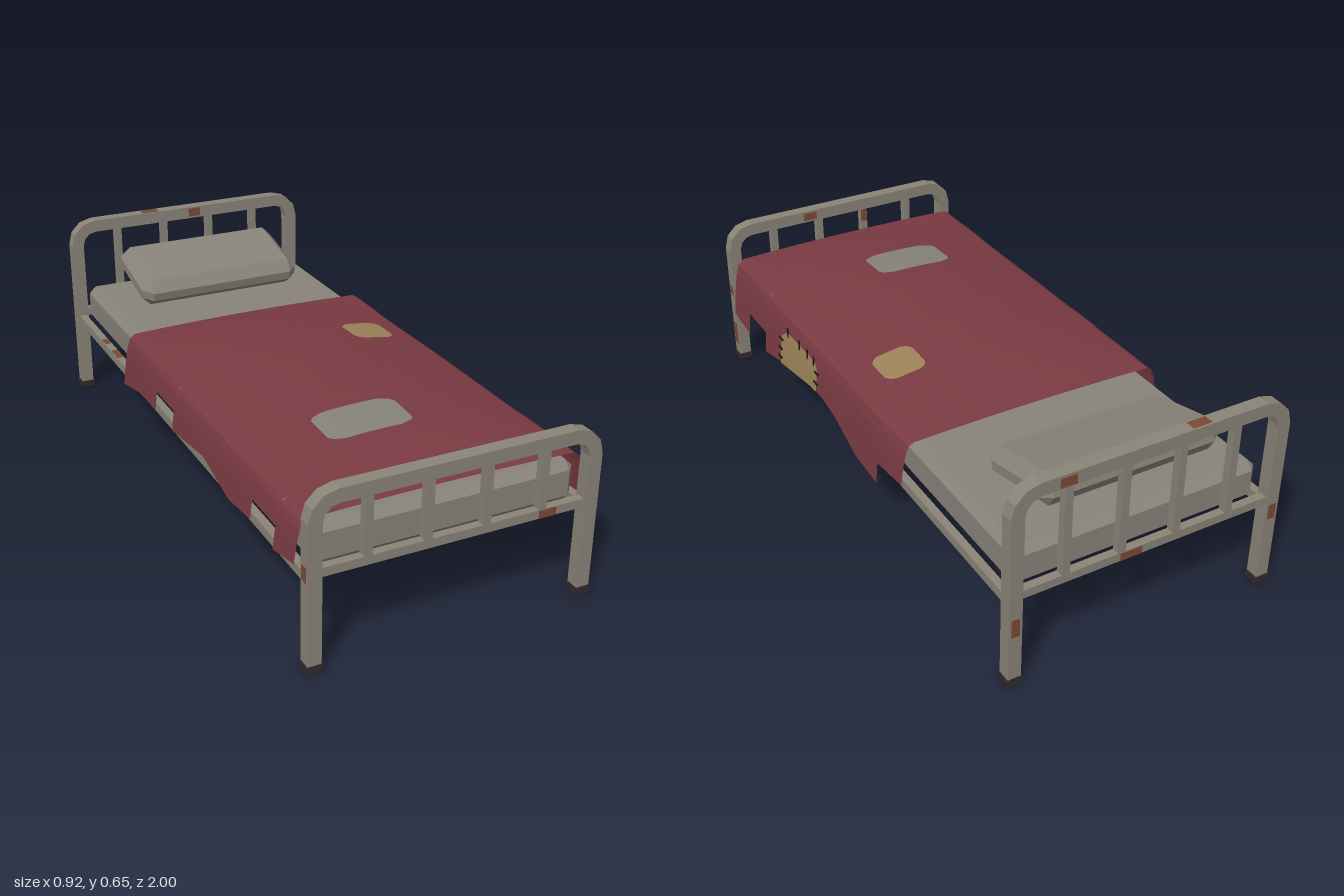
import * as THREE from 'three';
import { ConvexGeometry } from 'three/addons/geometries/ConvexGeometry.js';

const mat = (name, color, side = THREE.FrontSide) => {
  const m = new THREE.MeshStandardMaterial({ color, side });
  m.name = name;
  return m;
};

export function createModel() {
  const bed = new THREE.Group();
  bed.name = 'bed';
  const body = new THREE.Group();
  body.name = 'bedBody';
  body.position.x = -0.008;
  bed.add(body);

  const frameMat = mat('frameGrey', 0x8a8478);
  const linenMat = mat('linenGrey', 0x88837a);
  const footMat = mat('rubberDark', 0x33282a);
  const rustMat = mat('rust', 0x7a4a34);
  const redMat = mat('blanketRed', 0x7a3a42, THREE.DoubleSide);
  const tanMat = mat('patchTan', 0x9c8259, THREE.DoubleSide);
  const greyMat = mat('patchGrey', 0x85827b, THREE.DoubleSide);
  const threadMat = mat('threadBlack', 0x1c1618);

  const add = (name, geo, material, x = 0, y = 0, z = 0) => {
    const m = new THREE.Mesh(geo, material);
    m.name = name;
    m.position.set(x, y, z);
    body.add(m);
    return m;
  };
  const box = (name, material, w, h, d, x, y, z) =>
    add(name, new THREE.BoxGeometry(w, h, d), material, x, y, z);

  // Bent square tube: two legs joined by a top bar with faceted corners
  const W = 0.4485, T = 0.042, LEG = W - T / 2, END = 0.976;
  const arch = (name, top, z) => {
    const pts = [];
    const run = (half, y, r, flip) => {
      const line = [new THREE.Vector2(half, 0.01)];
      for (let i = 0; i <= 3; i++) {
        const a = (i * Math.PI) / 6;
        line.push(new THREE.Vector2(half - r + r * Math.cos(a), y - r + r * Math.sin(a)));
      }
      const all = [...line, ...line.map(p => new THREE.Vector2(-p.x, p.y)).reverse()];
      pts.push(...(flip ? all.reverse() : all));
    };
    run(W, top, 0.088, false);
    run(W - T, top - T, 0.048, true);
    const geo = new THREE.ExtrudeGeometry(new THREE.Shape(pts), { depth: T, bevelEnabled: false });
    add(name, geo, frameMat, 0, 0, z - T / 2);
    box(name + 'LowerRail', frameMat, 2 * LEG, 0.027, 0.026, 0, 0.2985, z);
    for (let i = 0; i < 4; i++) {
      const h = top - 0.02 - 0.3;
      box(name + 'Spindle', frameMat, 0.025, h, 0.025, (i - 1.5) * 0.18, 0.3 + h / 2, z);
    }
    for (const s of [-1, 1]) box('footCap', footMat, 0.049, 0.022, 0.048, s * LEG, 0.011, z);
  };
  arch('footboard', 0.538, END);
  arch('headboard', 0.648, -END);
  for (const s of [-1, 1]) box('sideRail', frameMat, 0.025, 0.03, 1.92, s * LEG, 0.275, 0);

  // Chamfered blocks for mattress and pillow
  const chamferBox = (w, h, d, c) => {
    const pts = [];
    for (const x of [-w / 2, w / 2]) for (const y of [-h / 2, h / 2]) for (const z of [-d / 2, d / 2]) {
      const ix = x - Math.sign(x) * c, iy = y - Math.sign(y) * c, iz = z - Math.sign(z) * c;
      pts.push(new THREE.Vector3(x, iy, iz), new THREE.Vector3(ix, y, iz), new THREE.Vector3(ix, iy, z));
    }
    return new ConvexGeometry(pts);
  };
  add('mattress', chamferBox(0.814, 0.128, 1.89, 0.024), linenMat, 0, 0.345, 0);
  add('pillow', chamferBox(0.595, 0.1, 0.3, 0.035), linenMat, 0, 0.487, -0.76).rotation.x = 0.23;

  // Blanket surface rules: a shallow dome on top, flaring drapes at the sides
  const EDGE = 0.41, FOLD = 0.425;
  const topY = (x, z) => {
    const dome = 1 - 0.85 * Math.pow(Math.min(1, Math.abs((z - 0.26) / 0.66)), 2.5);
    return FOLD + 0.05 * Math.max(0, 1 - (x / EDGE) ** 2) * dome;
  };
  const drapeX = y => EDGE + 0.053 * Math.pow(Math.max(0, FOLD - y) / 0.225, 0.35);

  const meshFrom = quads => {
    const pos = [];
    for (const [a, b, c, d] of quads) pos.push(...a, ...b, ...c, ...a, ...c, ...d);
    const g = new THREE.BufferGeometry();
    g.setAttribute('position', new THREE.Float32BufferAttribute(pos, 3));
    g.computeVertexNormals();
    return g;
  };

  // Rectangular sheet lying on the dome, with optional cut corners
  const sheet = (name, material, x0, x1, z0, z1, n, lift, cut) => {
    const P = (i, j) => {
      let x = x0 + ((x1 - x0) * i) / n, z = z0 + ((z1 - z0) * j) / n;
      if (i % n === 0 && j % n === 0) {
        x += i ? -cut : cut;
        z += j ? -cut : cut;
      }
      return [x, topY(x, z) + lift, z];
    };
    const quads = [];
    for (let i = 0; i < n; i++) for (let j = 0; j < n; j++)
      quads.push([P(i, j), P(i, j + 1), P(i + 1, j + 1), P(i + 1, j)]);
    add(name, meshFrom(quads), material);
  };
  sheet('blanketTop', redMat, -EDGE, EDGE, -0.4, 0.925, 16, 0, 0);
  sheet('tanTopPatch', tanMat, 0.2, 0.34, -0.1, 0.04, 5, 0.005, 0.01);
  sheet('greyTopPatch', greyMat, -0.2, 0.07, 0.48, 0.64, 6, 0.005, 0.012);

  // Hanging cloth from columns of [z, upper y, lower y]
  const drape = (name, material, side, cols, lift = 0) => {
    const rows = 5, quads = [];
    const P = ([z, hi, lo], k) => {
      const y = hi + (lo - hi) * (k / rows) ** 1.6;
      return [side * (drapeX(y) + lift), y, z];
    };
    for (let i = 0; i + 1 < cols.length; i++) {
      const a = cols[i], b = cols[i + 1];
      if (a[0] === b[0]) continue;
      for (let k = 0; k < rows; k++) {
        const q = [P(a, k), P(a, k + 1), P(b, k + 1), P(b, k)];
        quads.push(side > 0 ? q.reverse() : q);
      }
    }
    add(name, meshFrom(quads), material);
  };
  const leftHem = [[-0.4, 0.287], [-0.245, 0.27], [-0.245, 0.2], [-0.1, 0.21], [0.06, 0.26], [0.15, 0.274],
    [0.248, 0.275], [0.489, 0.237], [0.633, 0.206], [0.633, 0.28], [0.783, 0.28], [0.783, 0.2], [0.925, 0.216]];
  const rightHem = [[-0.4, 0.25], [-0.25, 0.28], [-0.1, 0.285], [-0.1, 0.345], [0.05, 0.345], [0.05, 0.28],
    [0.3, 0.31], [0.5, 0.27], [0.65, 0.285], [0.65, 0.345], [0.8, 0.345], [0.8, 0.275], [0.925, 0.3]];
  const fromFold = hem => hem.map(([z, y]) => [z, FOLD, y]);
  drape('blanketLeftDrape', redMat, 1, fromFold(leftHem));
  drape('blanketRightDrape', redMat, -1, fromFold(rightHem));
  drape('tanSidePatch', tanMat, 1,
    [[0.2, 0.35, 0.276], [0.22, 0.37, 0.276], [0.248, 0.374, 0.275], [0.45, 0.37, 0.243], [0.489, 0.34, 0.237]], 0.004);

  // Stitches around the side patch
  const stitch = (z, y, h, d) => box('stitch', threadMat, 0.004, h, d, drapeX(y) + 0.006, y, z);
  for (const z of [0.44, 0.345, 0.28, 0.23]) stitch(z, 0.373, 0.035, 0.006);
  for (const y of [0.33, 0.295, 0.262]) stitch(0.488, y, 0.006, 0.03);
  for (const y of [0.345, 0.31]) stitch(0.2, y, 0.006, 0.03);

  // Rust flakes: thin plates [w, h, d, x, y, z]
  const t = 0.004, out = END + T / 2, inn = END - T / 2;
  const flakes = [
    [0.045, 0.03, t, 0.028, 0.628, -inn], [0.055, 0.025, t, 0.286, 0.2985, END + 0.0135],
    [0.06, t, 0.03, -0.142, 0.648, -END], [0.05, 0.03, t, 0.28, 0.625, -out],
    [0.07, 0.024, t, 0.06, 0.2985, -END - 0.0135],
    [t, 0.085, 0.024, W, 0.105, END], [t, 0.035, 0.026, W, 0.285, END],
    [0.024, 0.09, t, LEG, 0.13, -inn], [t, 0.05, 0.025, -W + T, 0.2, END],
    [0.05, 0.028, t, 0.13, 0.517, inn], [0.022, 0.05, t, -0.09, 0.47, END - 0.0125],
    [t, 0.045, 0.026, -W, 0.3, END], [0.025, 0.06, t, LEG, 0.2, -out], [0.025, 0.05, t, -LEG, 0.26, -out],
    [0.02, t, 0.04, -LEG, 0.29, -0.68], [0.02, t, 0.065, -LEG, 0.29, -0.56],
  ];
  for (const f of flakes) box('rustFlake', rustMat, ...f);

  return bed;
}
